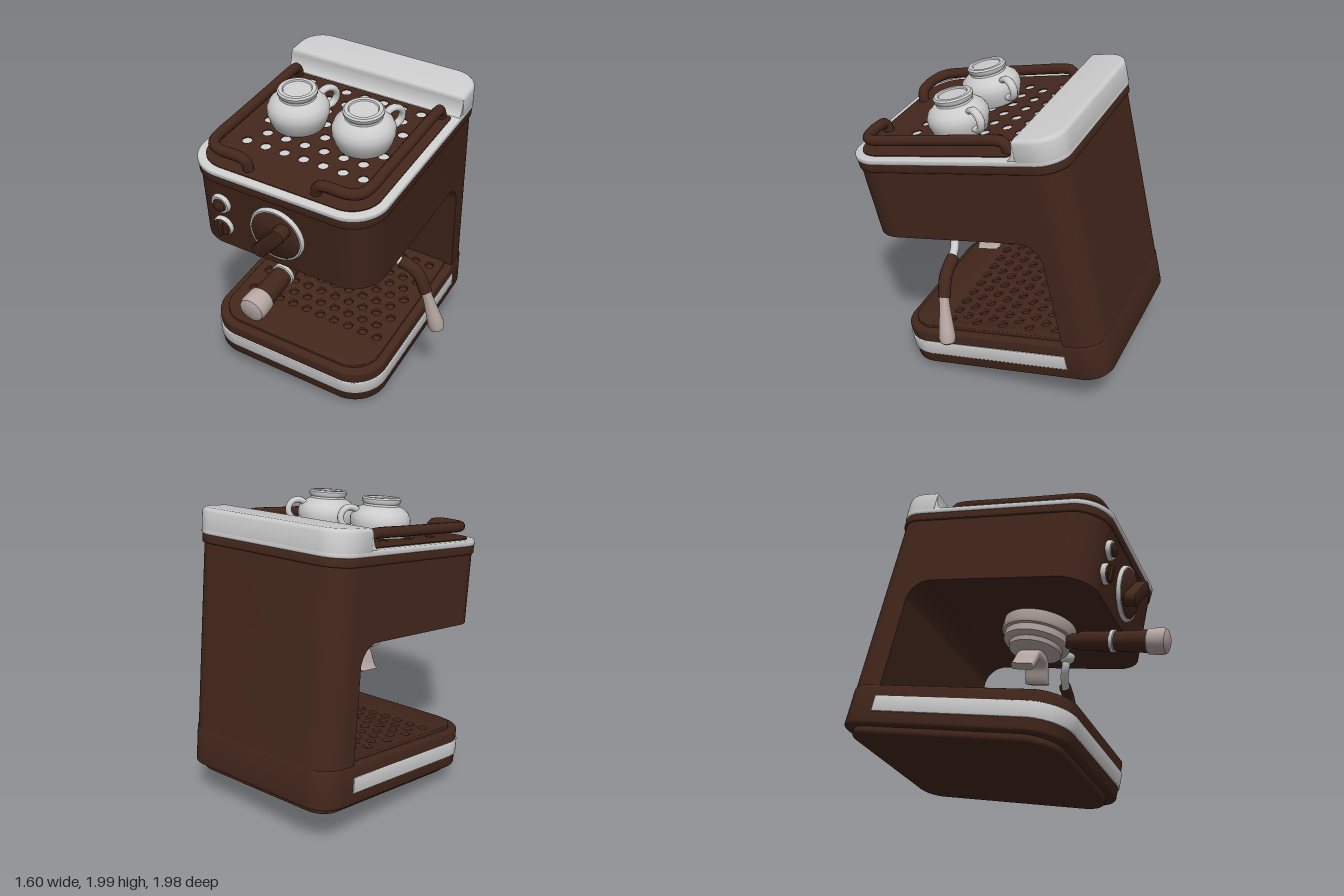
import * as THREE from 'three';
import { toCreasedNormals } from 'three/addons/utils/BufferGeometryUtils.js';

const mat = (color) => new THREE.MeshStandardMaterial({ color, side: THREE.DoubleSide });
const V = (x, y, z) => new THREE.Vector3(x, y, z);

export function createModel() {
  const brown = mat(0x42261b), metal = mat(0xcccccc), warm = mat(0xb5a6a1);
  const root = new THREE.Group();
  root.name = 'espressoMachine';
  const body = new THREE.Group();
  body.name = 'machine';
  // the whole machine stands turned and tipped forward
  body.rotation.set(0.2147, -0.4276, 0);
  body.position.set(-0.085, 0.008, -0.038);
  root.add(body);

  const add = (name, geo, material, parent = body) => {
    const m = new THREE.Mesh(geo, material);
    m.name = name;
    parent.add(m);
    return m;
  };

  // plan outline with rounded corners: half width, back z, front z, radii
  const plan = (w, zb, zf, rb, rf) => {
    const s = new THREE.Shape();
    const f = -zf, b = -zb;
    s.moveTo(-w + rf, f);
    s.lineTo(w - rf, f);
    if (rf) s.absarc(w - rf, f + rf, rf, -Math.PI / 2, 0, false);
    s.lineTo(w, b - rb);
    if (rb) s.absarc(w - rb, b - rb, rb, 0, Math.PI / 2, false);
    s.lineTo(-w + rb, b);
    if (rb) s.absarc(-w + rb, b - rb, rb, Math.PI / 2, Math.PI, false);
    s.lineTo(-w, f + rf);
    if (rf) s.absarc(-w + rf, f + rf, rf, Math.PI, Math.PI * 1.5, false);
    return s;
  };
  // horizontal slab from y0 to y1 with softened edges
  const slab = (name, shape, y0, y1, bevel, material) => {
    const geo = new THREE.ExtrudeGeometry(shape, {
      depth: y1 - y0 - 2 * bevel, bevelEnabled: bevel > 0, bevelSize: bevel, bevelThickness: bevel,
      bevelOffset: -bevel, bevelSegments: 3, curveSegments: 10,
    });
    geo.rotateX(-Math.PI / 2).translate(0, y0 + bevel, 0);
    return add(name, toCreasedNormals(geo, 0.6), material);
  };
  // staggered rows of round holes
  const perforate = (shape, cols, dx, rows, z0, dz, r) => {
    for (let j = 0; j < rows; j++) {
      const n = cols - (j % 2);
      for (let i = 0; i < n; i++) {
        const hole = new THREE.Path();
        hole.absarc((i - (n - 1) / 2) * dx, -(z0 + j * dz), r, 0, Math.PI * 2, true);
        shape.holes.push(hole);
      }
    }
    return shape;
  };
  // profile in (z, y) extruded across the width
  const across = (name, shape, w, material) => {
    const geo = new THREE.ExtrudeGeometry(shape, { depth: 2 * w, bevelEnabled: false, curveSegments: 10 });
    geo.rotateY(-Math.PI / 2).translate(w, 0, 0);
    return add(name, toCreasedNormals(geo, 0.6), material);
  };
  const lathe = (pts, n = 40) =>
    toCreasedNormals(new THREE.LatheGeometry(pts.map((p) => new THREE.Vector2(p[0], p[1])), n), 0.7);
  const tube = (pts, r, tension = 0.5) =>
    new THREE.TubeGeometry(new THREE.CatmullRomCurve3(pts, false, 'catmullrom', tension), 60, r, 14);

  // base, column and head
  slab('foot', plan(0.555, -0.845, 0.5, 0.13, 0.2), 0.13, 0.19, 0.02, brown);
  slab('base', plan(0.607, -0.895, 0.552, 0.16, 0.22), 0.175, 0.425, 0.015, brown);
  slab('baseBand', plan(0.614, -0.652, 0.56, 0, 0.225), 0.25, 0.35, 0.006, metal);
  slab('column', plan(0.6, -0.893, -0.65, 0.16, 0), 0.3, 1.2, 0, brown);
  slab('head', plan(0.6, -0.893, 0.535, 0.16, 0.21), 1.15, 1.62, 0, brown);
  const fillet = new THREE.Shape();
  fillet.moveTo(-0.66, 1.16);
  fillet.lineTo(-0.66, 1.01);
  fillet.lineTo(-0.65, 1.01);
  fillet.absarc(-0.51, 1.01, 0.14, Math.PI, Math.PI / 2, true);
  fillet.lineTo(-0.51, 1.16);
  across('headFillet', fillet, 0.6, brown);

  // drip tray
  const dripPlan = perforate(plan(0.555, -0.645, 0.5, 0.03, 0.18), 10, 0.105, 9, -0.56, 0.095, 0.029);
  slab('dripTray', dripPlan, 0.42, 0.446, 0.005, brown);

  // lid: lip, pale rim, raised back and its cove
  slab('lidLip', plan(0.61, -0.905, 0.543, 0.165, 0.215), 1.605, 1.66, 0.008, brown);
  slab('lidRim', plan(0.614, -0.91, 0.548, 0.165, 0.22), 1.658, 1.695, 0.01, metal);
  slab('lidBack', plan(0.614, -0.91, -0.63, 0.165, 0.02), 1.66, 1.82, 0.025, metal);
  const cove = new THREE.Shape();
  cove.moveTo(-0.65, 1.68);
  cove.lineTo(-0.56, 1.68);
  cove.quadraticCurveTo(-0.625, 1.7, -0.632, 1.795);
  cove.lineTo(-0.65, 1.795);
  across('lidCove', cove, 0.608, metal);

  // cup shelf
  const shelfPlan = perforate(plan(0.565, -0.575, 0.5, 0.02, 0.18), 7, 0.13, 7, -0.51, 0.12, 0.031);
  slab('cupShelf', shelfPlan, 1.694, 1.701, 0, brown);

  // guard rails, mirrored
  for (const s of [-1, 1]) {
    add('rail', tube([
      V(s * 0.505, 1.68, -0.55), V(s * 0.505, 1.745, -0.535), V(s * 0.505, 1.77, -0.48), V(s * 0.505, 1.77, -0.2),
      V(s * 0.505, 1.77, 0.1), V(s * 0.505, 1.77, 0.33), V(s * 0.475, 1.77, 0.41), V(s * 0.4, 1.77, 0.44),
      V(s * 0.29, 1.77, 0.44), V(s * 0.235, 1.75, 0.44), V(s * 0.22, 1.68, 0.44)], 0.033), brown);
  }

  // upturned cups with handles
  for (const x of [-0.22, 0.225]) {
    const cup = new THREE.Group();
    cup.name = 'cup';
    cup.position.set(x, 1.7, -0.095);
    cup.rotation.y = Math.PI / 3;
    body.add(cup);
    add('cupBowl', lathe([[0.145, 0.0], [0.16, 0.0], [0.175, 0.035], [0.188, 0.08], [0.188, 0.115], [0.172, 0.15],
      [0.14, 0.175], [0.112, 0.188], [0.11, 0.2], [0.12, 0.212], [0.122, 0.23], [0.112, 0.24], [0.09, 0.24],
      [0.085, 0.232], [0, 0.232]]), metal, cup);
    const handle = add('cupHandle', new THREE.TorusGeometry(0.062, 0.02, 10, 28), metal, cup);
    handle.position.set(0.2, 0.11, 0);
    handle.scale.z = 1.3;
  }

  // front controls: ring, disc, and a grip where needed
  const control = (name, x, y, r, ring, bar) => {
    const g = new THREE.Group();
    g.name = name;
    g.position.set(x, y, 0.53);
    body.add(g);
    add('ring', lathe([[0, 0], [r, 0], [r, 0.02], [r - 0.008, 0.03], [r - ring, 0.03], [r - ring, 0.01]]), metal, g).rotation.x = Math.PI / 2;
    const ri = r - ring;
    add('cap', lathe([[ri, 0], [ri, 0.03], [ri * 0.9, 0.042], [0, bar ? 0.045 : 0.06]]), brown, g).rotation.x = Math.PI / 2;
    if (!bar) return;
    const [len, w, h, tilt] = bar;
    const s = new THREE.Shape();
    s.absarc(0, len / 2 - w / 2, w / 2, 0, Math.PI, false);
    s.absarc(0, -len / 2 + w / 2, w / 2, Math.PI, Math.PI * 2, false);
    const geo = new THREE.ExtrudeGeometry(s, { depth: h, bevelSize: w * 0.12, bevelThickness: w * 0.12, bevelOffset: -w * 0.12, bevelSegments: 2 });
    const grip = add('grip', toCreasedNormals(geo, 0.6), brown, g);
    grip.position.z = 0.03;
    grip.rotation.z = tilt;
  };
  control('mainDial', 0.01, 1.39, 0.18, 0.018, [0.3, 0.09, 0.075, -0.7]);
  control('powerButton', -0.37, 1.467, 0.064, 0.02, null);
  control('steamSwitch', -0.37, 1.3, 0.066, 0.008, [0.11, 0.03, 0.025, 0]);

  // brew group and filter basket
  add('brewGroup', lathe([[0, 1.16], [0.235, 1.16], [0.24, 1.08], [0.232, 1.065], [0.215, 1.06], [0.215, 1.015],
    [0.2, 1.0], [0.175, 0.995], [0.17, 0.965], [0.14, 0.95], [0, 0.945]]), warm);

  // double spout: flared arch under the basket
  const arch = new THREE.Shape();
  arch.moveTo(-0.16, 0.805);
  arch.bezierCurveTo(-0.1, 0.84, -0.13, 0.96, 0, 0.96);
  arch.bezierCurveTo(0.13, 0.96, 0.1, 0.84, 0.16, 0.805);
  arch.lineTo(0.11, 0.785);
  arch.bezierCurveTo(0.06, 0.83, 0.08, 0.9, 0, 0.9);
  arch.bezierCurveTo(-0.08, 0.9, -0.06, 0.83, -0.11, 0.785);
  const spout = new THREE.ExtrudeGeometry(arch, { depth: 0.11, bevelSize: 0.012, bevelThickness: 0.02, bevelOffset: -0.012, bevelSegments: 3 });
  add('spout', toCreasedNormals(spout.translate(0, 0, -0.055), 0.7), warm);

  // filter handle, pointing forward
  const handle = new THREE.Group();
  handle.name = 'filterHandle';
  handle.position.set(0.01, 1.05, 0);
  handle.rotation.x = Math.PI / 2;
  body.add(handle);
  add('handleNeck', lathe([[0.045, 0.18], [0.05, 0.28], [0.062, 0.3], [0.064, 0.505]]), brown, handle);
  add('handleRing', lathe([[0.06, 0.5], [0.071, 0.503], [0.071, 0.525], [0.06, 0.53]]), metal, handle);
  add('handleGrip', lathe([[0.062, 0.525], [0.072, 0.74]]), brown, handle);
  add('handleEnd', lathe([[0.07, 0.735], [0.08, 0.745], [0.084, 0.83], [0.075, 0.855], [0.055, 0.865], [0, 0.868]]), warm, handle);

  // steam wand
  const joint = add('wandJoint', new THREE.SphereGeometry(0.055, 20, 14), metal);
  joint.position.set(0.4, 1.14, 0.04);
  add('wandPipe', tube([V(0.4, 1.15, 0.04), V(0.41, 1.07, 0.04), V(0.46, 1.01, 0.025), V(0.56, 0.972, 0.005)], 0.027), metal);
  add('wandSleeve', tube([V(0.535, 0.98, 0.005), V(0.61, 0.955, 0.003), V(0.665, 0.91, 0.008), V(0.715, 0.81, 0.017)], 0.04), brown);
  const tip = add('wandTip', lathe([[0, 0], [0.03, 0], [0.032, 0.08], [0.046, 0.22], [0.053, 0.28], [0.045, 0.315], [0.025, 0.328], [0, 0.33]], 24), warm);
  tip.position.set(0.71, 0.835, 0.017);
  tip.quaternion.setFromUnitVectors(V(0, 1, 0), V(0.1, -0.305, 0.003).normalize());

  return root;
}
